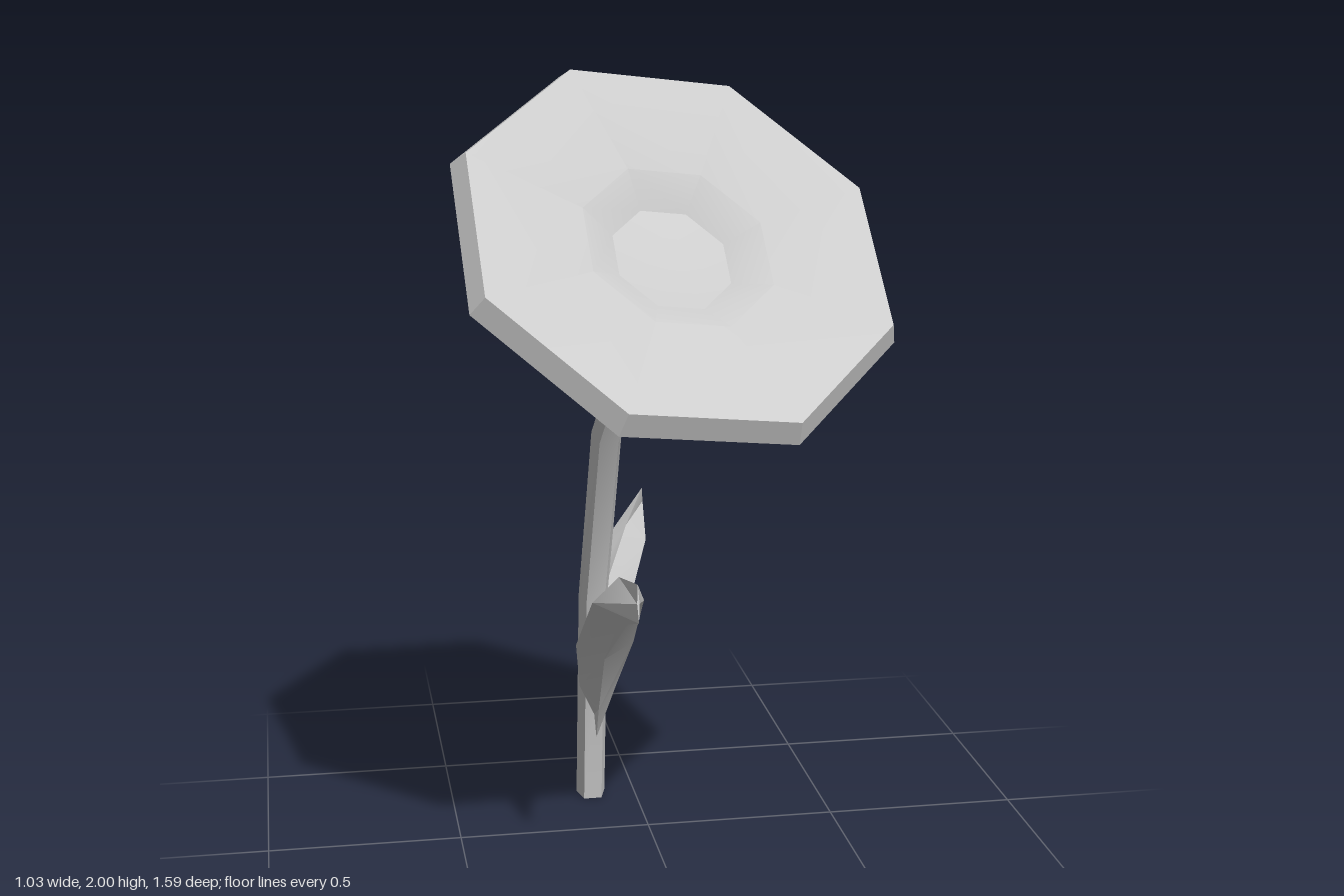
import * as THREE from 'three';
import { toCreasedNormals } from 'three/addons/utils/BufferGeometryUtils.js';

const CREASE = 0.45;

// Closed skin through rings of [x, y, z] points, each counterclockwise about the path
function loft(rings) {
  const n = rings[0].length, index = [];
  for (let r = 0; r < rings.length - 1; r++) {
    for (let i = 0; i < n; i++) {
      const a = r * n + i, b = r * n + (i + 1) % n;
      index.push(a, b, b + n, a, b + n, a + n);
    }
  }
  const end = (rings.length - 1) * n;
  for (let i = 1; i < n - 1; i++) index.push(0, i + 1, i, end, end + i, end + i + 1);
  const g = new THREE.BufferGeometry();
  g.setAttribute('position', new THREE.Float32BufferAttribute(rings.flat(2), 3));
  g.setIndex(index);
  return toCreasedNormals(g, CREASE);
}

// Leaf with a diamond section; side is the direction of the path along z.
// Station: x, half width, crest z, crest y, keel z, keel y, edge position from crest (0) to keel (1)
function leafGeometry(stations, side) {
  return loft(stations.map(([x, w, cz, cy, kz, ky, t]) => {
    const ey = cy + (ky - cy) * t, ez = cz + (kz - cz) * t;
    return [[x + side * w, ey, ez], [x, cy, cz], [x - side * w, ey, ez], [x, ky, kz]];
  }));
}

// Bent stem with five sides, each ring square to the path
function stemGeometry(path, radius, sides = 5) {
  return loft(path.map(([x, y, z], i) => {
    const p = path[Math.max(i - 1, 0)], q = path[Math.min(i + 1, path.length - 1)];
    const len = Math.hypot(q[1] - p[1], q[2] - p[2]);
    const ty = (q[1] - p[1]) / len, tz = (q[2] - p[2]) / len;
    return Array.from({ length: sides }, (_, k) => {
      const a = (k / sides) * Math.PI * 2 + Math.PI / 2;
      const c = Math.cos(a) * radius, s = Math.sin(a) * radius;
      return [x + c, y + s * tz, z - s * ty];
    });
  }));
}

export function createModel() {
  const group = new THREE.Group();
  const grey = new THREE.MeshStandardMaterial({ color: 0xcccccc });
  grey.name = 'light grey';

  const add = (name, geometry) => {
    const mesh = new THREE.Mesh(geometry, grey);
    mesh.name = name;
    group.add(mesh);
    return mesh;
  };

  // Flower head: eight-sided dish with a sunken ring and a low domed centre
  const profile = [
    [0, -0.18], [0.28, -0.135], [0.56, -0.055], [0.535, 0],
    [0.24, -0.025], [0.15, -0.075], [0, -0.05],
  ].map(([r, y]) => new THREE.Vector2(r, y));
  const head = add('flowerHead', toCreasedNormals(new THREE.LatheGeometry(profile, 8), CREASE));
  const up = new THREE.Vector3(0.194, 0.713, 0.675).normalize();
  const corner = new THREE.Vector3(-0.21, 0.36, -0.32);
  corner.addScaledVector(up, -corner.dot(up)).normalize();
  const across = new THREE.Vector3().crossVectors(up, corner);
  head.quaternion.setFromRotationMatrix(new THREE.Matrix4().makeBasis(across, up, corner));
  head.position.set(0.01, 1.64, 0.41);

  // Stem
  add('stem', stemGeometry([
    [-0.12, 0.01, -0.235], [-0.12, 0.6, -0.16], [-0.11, 1.09, 0.03], [-0.03, 1.52, 0.29],
  ], 0.041));

  // Leaf arching to the front
  add('frontLeaf', leafGeometry([
    [-0.115, 0.005, -0.17, 0.33, -0.16, 0.2, 0.5],
    [-0.12, 0.05, -0.10, 0.48, -0.08, 0.31, 0.6],
    [-0.12, 0.075, 0.05, 0.67, 0.03, 0.49, 0.75],
    [-0.115, 0.065, 0.245, 0.78, 0.22, 0.645, 0.5],
    [-0.11, 0.003, 0.50, 0.84, 0.52, 0.75, 0.5],
  ], 1));

  // Leaf arching to the back and left
  add('backLeaf', leafGeometry([
    [-0.11, 0.015, -0.23, 0.24, -0.285, 0.08, 0.5],
    [-0.085, 0.045, -0.315, 0.41, -0.35, 0.23, 0.6],
    [-0.05, 0.07, -0.415, 0.545, -0.46, 0.42, 0.5],
    [0.035, 0.06, -0.585, 0.67, -0.62, 0.57, 0.5],
    [0.11, 0.005, -0.76, 0.73, -0.795, 0.64, 0.5],
  ], -1));

  return group;
}
